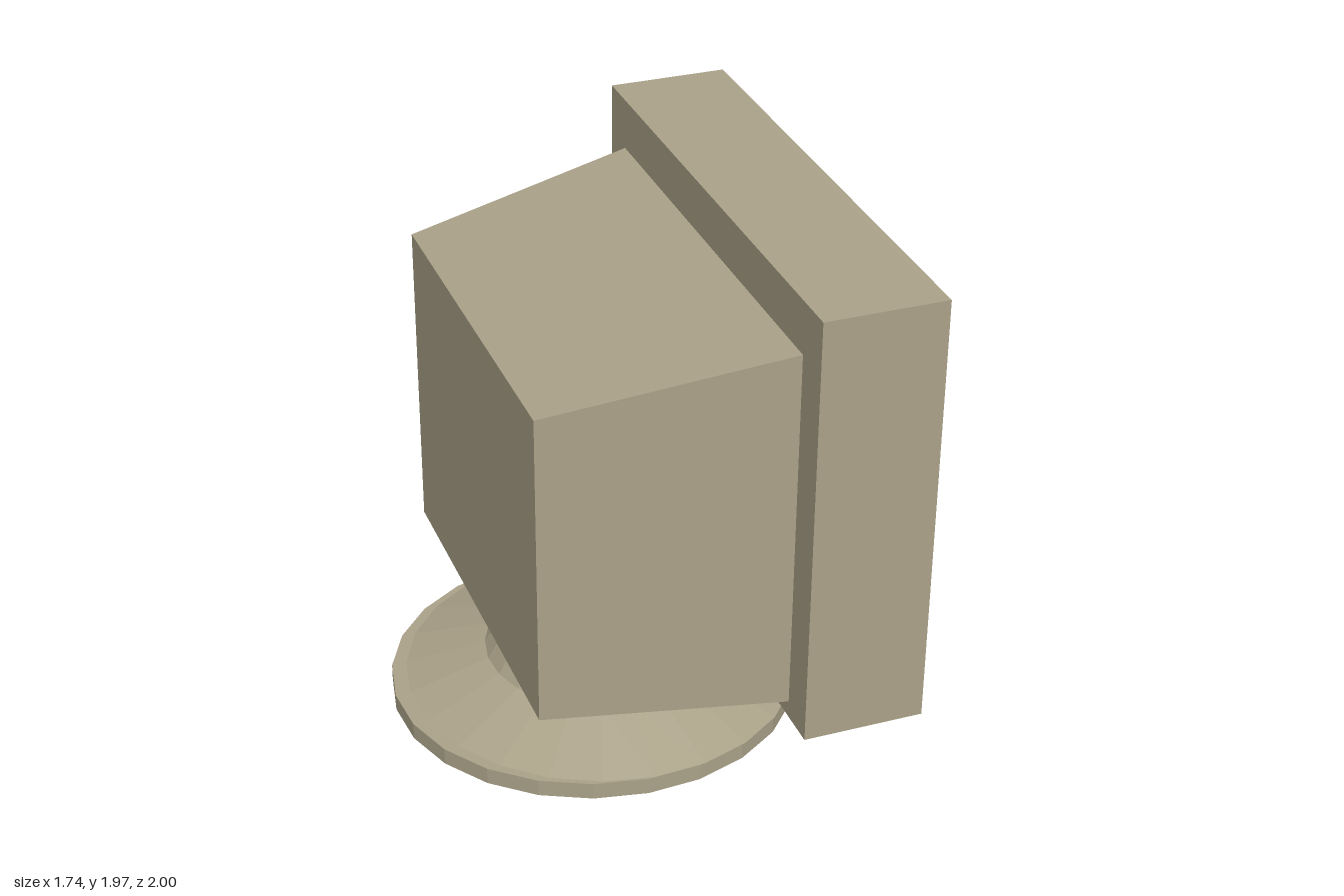
import * as THREE from 'three';

const material = (color, extra = {}) => new THREE.MeshStandardMaterial({ color, flatShading: true, ...extra });

// Mesh helper: name, geometry, material and position
function part(name, geometry, mat, x = 0, y = 0, z = 0) {
  const mesh = new THREE.Mesh(geometry, mat);
  mesh.name = name;
  mesh.position.set(x, y, z);
  return mesh;
}

// Rectangular frame facing +x, extruded from x = 0 to depth
function frameGeometry(outerW, outerH, innerW, innerH, depth) {
  const corners = (w, h) => [[-1, -1], [1, -1], [1, 1], [-1, 1]]
    .map(([sx, sy]) => new THREE.Vector2(sx * w / 2, sy * h / 2));
  const shape = new THREE.Shape(corners(outerW, outerH));
  shape.holes.push(new THREE.Path(corners(innerW, innerH).reverse()));
  return new THREE.ExtrudeGeometry(shape, { depth, bevelEnabled: false }).rotateY(Math.PI / 2);
}

// Rear housing: a box whose ends have different heights and widths
function housingGeometry() {
  const rear = { x: -0.55, bottom: 0.41, top: 1.62, half: 0.715 };
  const front = { x: 0.335, bottom: 0.365, top: 1.77, half: 0.853 };
  const geometry = new THREE.BoxGeometry(2, 2, 2);
  const p = geometry.attributes.position;
  for (let i = 0; i < p.count; i++) {
    const end = p.getX(i) < 0 ? rear : front;
    p.setXYZ(i, end.x, p.getY(i) < 0 ? end.bottom : end.top, p.getZ(i) * end.half);
  }
  geometry.computeVertexNormals();
  return geometry;
}

export function createModel() {
  const model = new THREE.Group();
  model.name = 'monitor';
  const beige = material(0xaaa188);
  const grey = material(0x777575);
  const navy = material(0x151232);

  // Casing
  model.add(part('rearHousing', housingGeometry(), beige));
  model.add(part('frontCasing', new THREE.BoxGeometry(0.452, 1.665, 2), beige, 0.56, 1.1325, 0));

  // Screen with its raised surround and beige inner lining
  const midY = 1.135;
  model.add(part('screenSurround', frameGeometry(1.478, 1.23, 1.378, 1.148, 0.085), grey, 0.786, midY, 0));
  model.add(part('screenLining', frameGeometry(1.378, 1.148, 1.37, 1.14, 0.082), beige, 0.786, midY, 0));
  model.add(part('screen', new THREE.BoxGeometry(0.01, 1.14, 1.37), navy, 0.786, midY, 0));

  // Foot: oval disc
  const sides = 24;
  const phase = -Math.PI / 48;
  const disc = new THREE.CylinderGeometry(1, 1, 0.065, sides, 1, false, phase);
  disc.scale(0.77, 1, 0.743);
  model.add(part('footDisc', disc, beige, -0.1, 0.0325, 0));

  // Pedestal: sloped skirt, neck and flared cup under the housing
  const profile = [[0.74, 0.065], [0.438, 0.165], [0.343, 0.312], [0.405, 0.43]]
    .map(([r, y]) => new THREE.Vector2(r, y));
  const pedestal = new THREE.LatheGeometry(profile, sides, phase);
  model.add(part('pedestal', pedestal, material(0xaaa188, { side: THREE.DoubleSide }), -0.073, 0, 0));

  return model;
}
